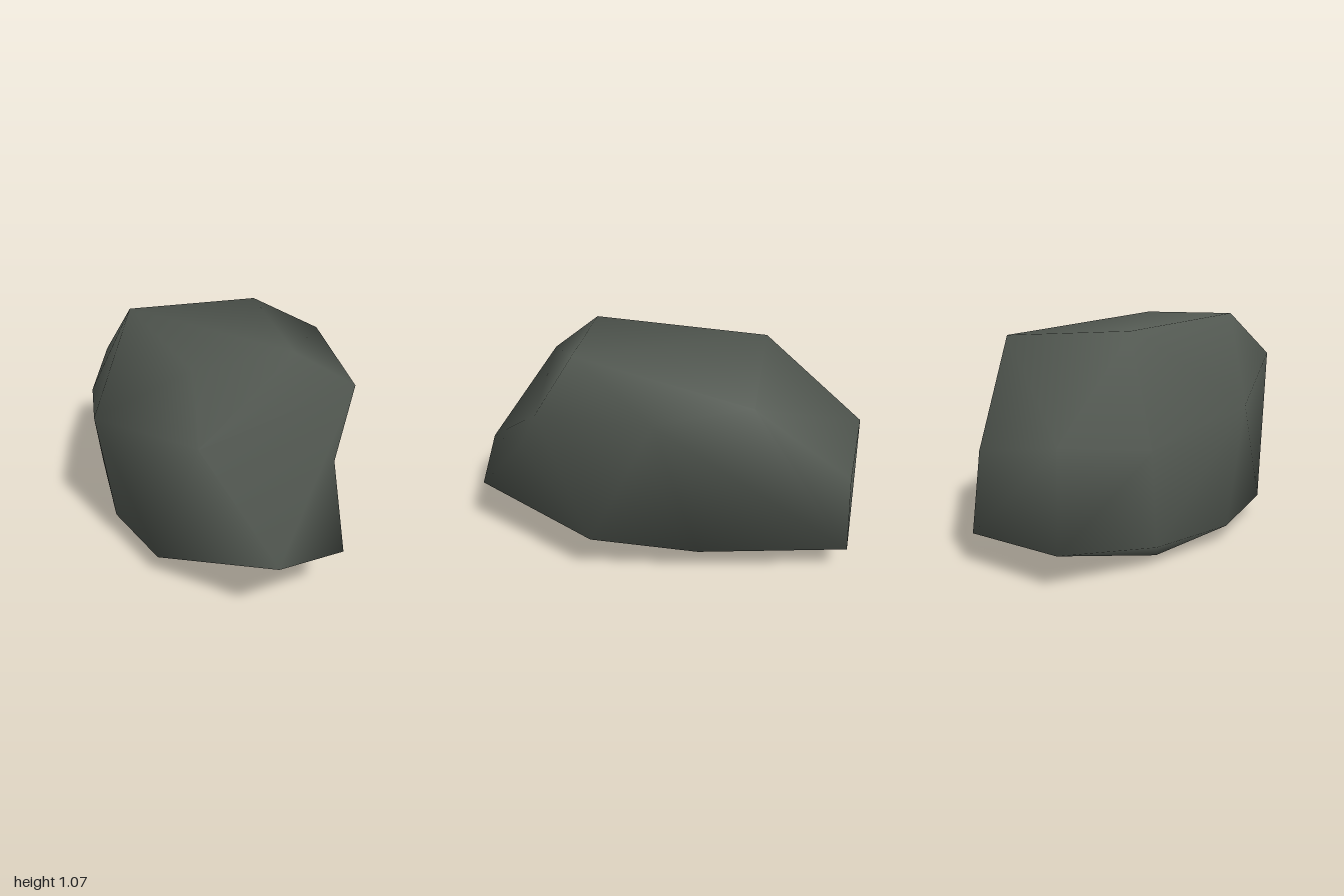
import * as THREE from 'three';
import { ConvexGeometry } from 'three/addons/geometries/ConvexGeometry.js';
import { mergeVertices } from 'three/addons/utils/BufferGeometryUtils.js';

// Corners of the boulder, grouped by where they lie
const corners = [
  // crown
  [-0.29, 1.07, 0.41], [0.22, 1.06, 0.40], [0.46, 0.985, -0.49], [-0.27, 1.04, -0.48],
  // flanks
  [0.62, 0.94, -0.07], [0.50, 0.88, 0.50], [0.53, 0.24, 0.26], [-0.62, 0.68, -0.05], [-0.47, 0.55, -0.61],
  // nose
  [-0.38, 0.84, 0.68], [-0.15, 0.37, 1.0], [0.22, 0.295, 0.925],
  // back
  [-0.26, 0.61, -0.99], [-0.26, 0.16, -1.0], [0.25, 0.15, -0.97], [0.21, 0.53, -0.95],
  // underside
  [-0.36, 0, -0.41], [-0.54, 0.08, -0.06], [-0.455, 0.10, -0.55], [-0.48, 0.11, 0.40],
  [0.41, 0.15, -0.25], [0.20, 0.135, 0.22],
].map((p) => new THREE.Vector3(...p));

// One corner is hulled further out, then pushed in to make the hollow above the nose
const hollowOuter = new THREE.Vector3(0.36, 0.52, 0.785);
const hollowInner = new THREE.Vector3(0.31, 0.60, 0.66);

function boulderGeometry() {
  const hull = new ConvexGeometry([...corners, hollowOuter]);
  hull.deleteAttribute('normal');
  const geometry = mergeVertices(hull, 1e-4);
  const position = geometry.attributes.position;
  const v = new THREE.Vector3();
  for (let i = 0; i < position.count; i++) {
    v.fromBufferAttribute(position, i);
    if (v.distanceTo(hollowOuter) < 1e-3) position.setXYZ(i, ...hollowInner.toArray());
  }
  // Shared corners give smooth shading over the coarse faces
  geometry.computeVertexNormals();
  return geometry;
}

export function createModel() {
  const group = new THREE.Group();
  group.name = 'rock';
  const stone = new THREE.MeshStandardMaterial({ color: 0x525851 });
  stone.name = 'dark grey stone';
  const boulder = new THREE.Mesh(boulderGeometry(), stone);
  boulder.name = 'boulder';
  group.add(boulder);
  return group;
}
